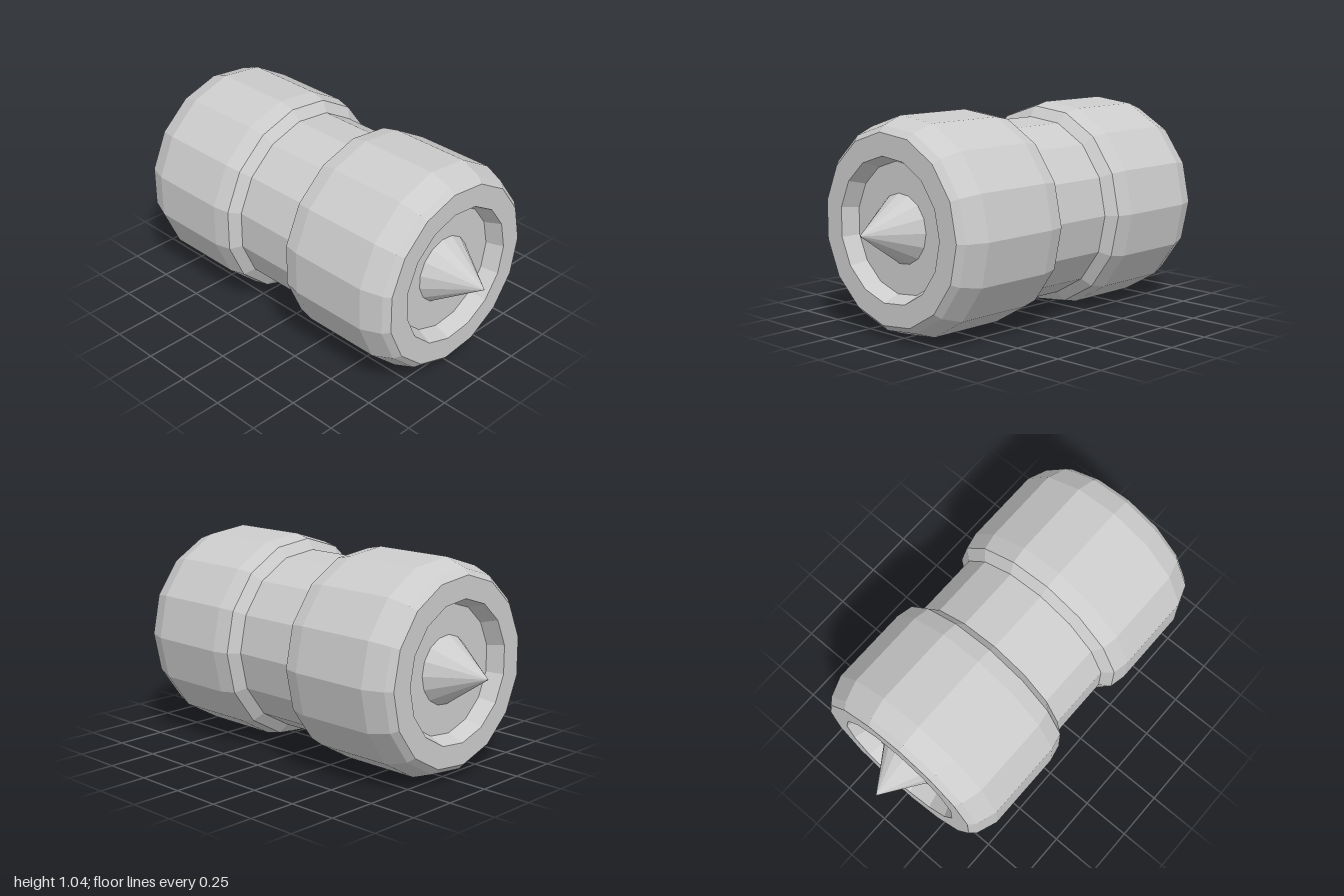
import * as THREE from 'three';

const SIDES = 15;
const material = new THREE.MeshStandardMaterial({ color: 0xcccccc, flatShading: true });

function facetedMesh(name, geometry) {
  const flat = geometry.toNonIndexed();
  flat.computeVertexNormals();
  const mesh = new THREE.Mesh(flat, material);
  mesh.name = name;
  return mesh;
}

// Faceted ring turned around the y axis from [radius, height] pairs
function turned(name, profile) {
  const points = profile.map(([r, h]) => new THREE.Vector2(r, h));
  return facetedMesh(name, new THREE.LatheGeometry(points, SIDES, Math.PI, Math.PI * 2));
}

// One drum with its recessed end and centre spike, pointing along +y
function createEnd(name) {
  const end = new THREE.Group();
  end.name = name;

  // Bevelled drum wall and flat rim
  end.add(turned('drum', [
    [0.455, 0.167], [0.507, 0.207], [0.525, 0.29], [0.525, 0.70],
    [0.487, 0.803], [0.457, 0.833], [0.347, 0.833],
  ]));

  // Sloped recess wall and floor
  end.add(turned('recess', [[0.347, 0.833], [0.316, 0.75], [0.15, 0.75]]));

  // Spike standing on the recess floor
  const spike = facetedMesh('spike',
    new THREE.ConeGeometry(0.168, 0.25, SIDES, 1, true, Math.PI, Math.PI * 2));
  spike.position.y = 0.875;
  end.add(spike);
  return end;
}

export function createModel() {
  const model = new THREE.Group();
  model.name = 'spikedRoller';

  // Narrow waist joining the drums
  const waist = turned('waist', [[0.455, -0.167], [0.455, 0.167]]);
  waist.rotation.z = -Math.PI / 2;
  model.add(waist);

  // Matching ends, turned outwards along x
  for (const [name, side] of [['leftEnd', 1], ['rightEnd', -1]]) {
    const end = createEnd(name);
    end.rotation.z = -side * Math.PI / 2;
    model.add(end);
  }

  model.position.set(0, 0.522, 0.006);
  const root = new THREE.Group();
  root.add(model);
  return root;
}
